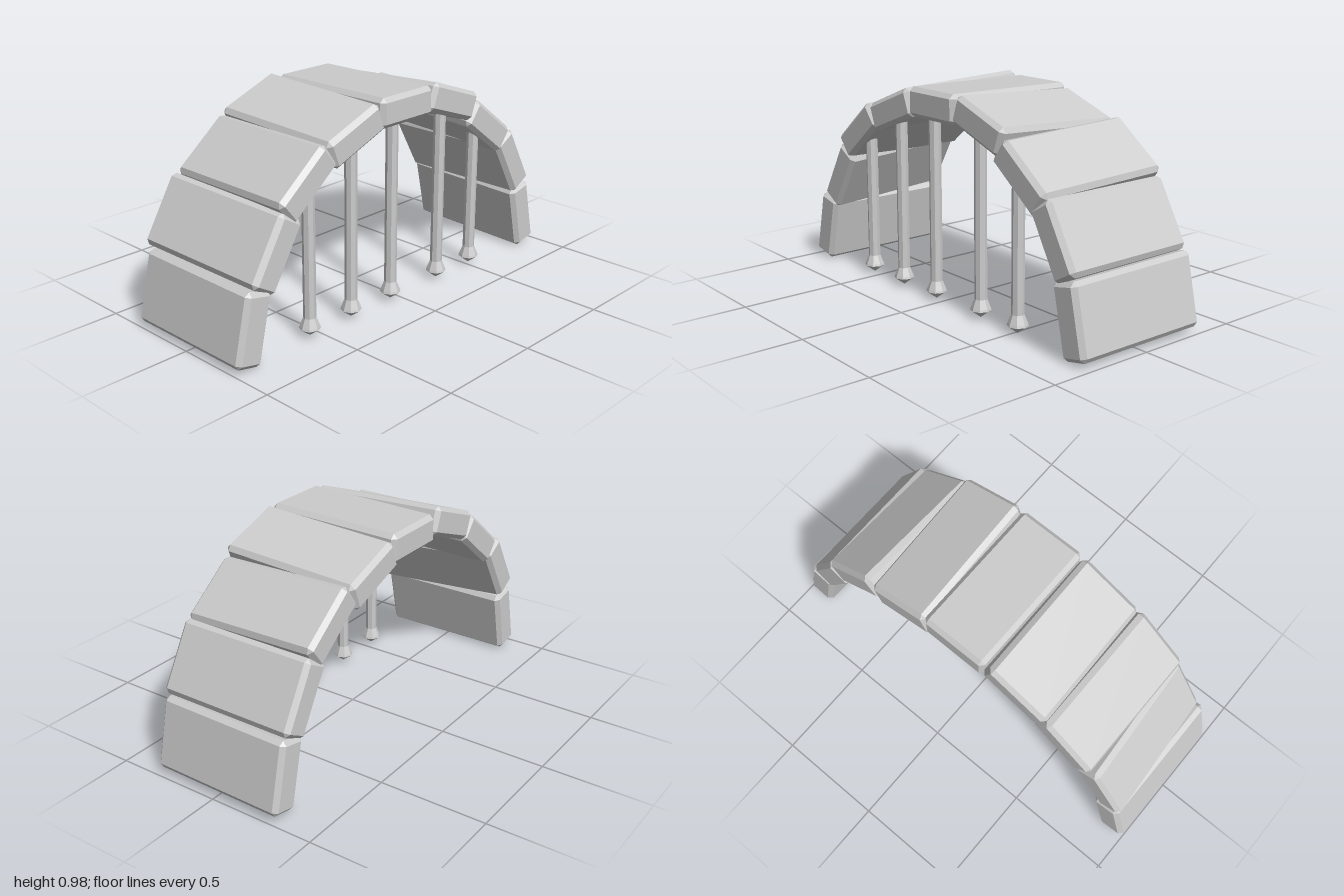
import * as THREE from 'three';
import { ConvexGeometry } from 'three/addons/geometries/ConvexGeometry.js';

const material = new THREE.MeshStandardMaterial({ color: 0xcccccc, flatShading: true, side: THREE.DoubleSide });
const HALF_DEPTH = 0.33;

// Box with all edges chamfered by b
function chamferedBox(w, h, d, b) {
  const points = [];
  for (const x of [-w / 2, w / 2]) for (const y of [-h / 2, h / 2]) for (const z of [-d / 2, d / 2]) {
    const ix = x - Math.sign(x) * b, iy = y - Math.sign(y) * b, iz = z - Math.sign(z) * b;
    points.push(new THREE.Vector3(x, iy, iz), new THREE.Vector3(ix, y, iz), new THREE.Vector3(ix, iy, z));
  }
  return new ConvexGeometry(points);
}

// Arch stone: front centre (x, y), tilt in degrees, and how far its back end drifts (dx, dy)
function makeStone([x, y, tilt, dx, dy], i) {
  const geometry = chamferedBox(0.325, 0.135, HALF_DEPTH * 2, 0.02);
  geometry.rotateZ(THREE.MathUtils.degToRad(tilt));
  const p = geometry.attributes.position;
  for (let k = 0; k < p.count; k++) {
    const t = (HALF_DEPTH - p.getZ(k)) / (2 * HALF_DEPTH);
    p.setXY(k, p.getX(k) + x + dx * t, p.getY(k) + y + dy * t);
  }
  geometry.computeVertexNormals();
  const mesh = new THREE.Mesh(geometry, material);
  mesh.name = `archStone${i + 1}`;
  return mesh;
}

// Gate bar: spear-pointed foot, straight shaft running up into the arch
function makeBar([x, top], i) {
  const profile = [[0, 0.01], [0.047, 0.045], [0.044, 0.055], [0.028, 0.095], [0.028, top], [0, top]]
    .map(([r, y]) => new THREE.Vector2(r, y));
  const mesh = new THREE.Mesh(new THREE.LatheGeometry(profile, 8), material);
  mesh.name = `gateBar${i + 1}`;
  mesh.position.set(x, 0, 0.27);
  return mesh;
}

export function createModel() {
  const model = new THREE.Group();
  model.name = 'archGate';

  const arch = new THREE.Group();
  arch.name = 'arch';
  const stones = [
    [-0.9, 0.177, 77.5, 0, 0],
    [-0.765, 0.46, 59.5, -0.045, 0.03],
    [-0.59, 0.71, 39, 0, 0],
    [-0.313, 0.848, 21, -0.012, 0.025],
    [-0.003, 0.91, 0, 0.003, -0.008],
    [0.313, 0.87, -19.5, -0.015, -0.035],
    [0.575, 0.695, -37, 0.015, 0.025],
    [0.778, 0.476, -60.5, 0, 0],
    [0.88, 0.174, -77.5, 0.02, 0.01],
  ];
  stones.forEach((s, i) => arch.add(makeStone(s, i)));

  const gate = new THREE.Group();
  gate.name = 'gate';
  const bars = [[-0.55, 0.73], [-0.3, 0.84], [-0.045, 0.9], [0.275, 0.86], [0.52, 0.72]];
  bars.forEach((b, i) => gate.add(makeBar(b, i)));

  model.add(arch, gate);
  return model;
}
